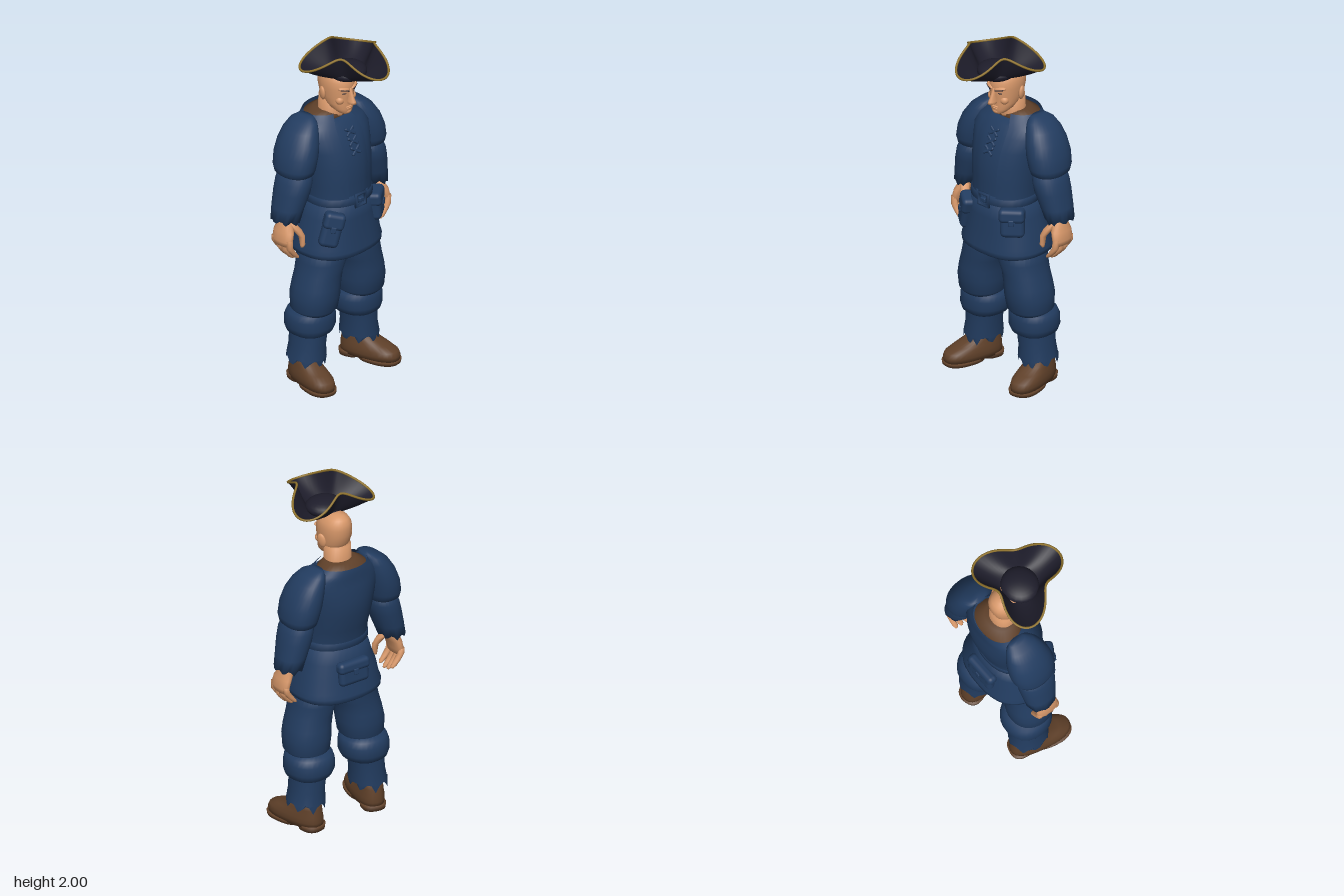
import * as THREE from 'three';
import { RoundedBoxGeometry } from 'three/addons/geometries/RoundedBoxGeometry.js';
import { ParametricGeometry } from 'three/addons/geometries/ParametricGeometry.js';

const flat = (name, color) => {
  const m = new THREE.MeshStandardMaterial({ color, side: THREE.DoubleSide });
  m.name = name;
  return m;
};

// Skin over horizontal rings, listed upwards as [y, cx, cz, rx, rz].
// opening: half angle left open at the front; jag: height of a torn lower hem.
function loft(rings, { exp = 2.2, seg = 28, opening = 0, jag = 0, caps = true } = {}) {
  const pos = [], idx = [];
  const cols = opening ? seg + 1 : seg;
  const bend = (v) => Math.sign(v) * Math.abs(v) ** (2 / exp);
  rings.forEach(([y, cx, cz, rx, rz], i) => {
    for (let j = 0; j < cols; j++) {
      const a = Math.PI / 2 + opening + (j / seg) * 2 * (Math.PI - opening);
      const tear = i === 0 ? jag * (Math.abs(Math.sin(j * 2.3)) - 0.3) : 0;
      pos.push(cx + rx * bend(Math.cos(a)), y + tear, cz + rz * bend(Math.sin(a)));
    }
  });
  for (let i = 0; i < rings.length - 1; i++) {
    for (let j = 0; j < seg; j++) {
      const k = (j + 1) % cols, a = i * cols + j, b = i * cols + k;
      idx.push(a, a + cols, b, b, a + cols, b + cols);
    }
  }
  if (caps && !opening) {
    const top = (rings.length - 1) * cols, n = pos.length / 3;
    for (const r of [rings[0], rings[rings.length - 1]]) pos.push(r[1], r[0], r[2]);
    for (let j = 0; j < seg; j++) {
      const k = (j + 1) % seg;
      idx.push(n, j, k, n + 1, top + k, top + j);
    }
  }
  const g = new THREE.BufferGeometry();
  g.setAttribute('position', new THREE.Float32BufferAttribute(pos, 3));
  g.setIndex(idx);
  g.computeVertexNormals();
  return g;
}

export function createModel() {
  const root = new THREE.Group();
  const blue = flat('blue cloth', 0x223c60);
  const brown = flat('brown leather', 0x5f4029);
  const skin = flat('skin', 0xd8986a);
  const dark = flat('dark felt', 0x1e1d2b);
  const gold = flat('gold trim', 0x8f722c);

  const add = (name, geo, mat, p = [0, 0, 0], r = [0, 0, 0], s = [1, 1, 1], parent = root) => {
    const m = new THREE.Mesh(geo, mat);
    m.name = name;
    m.position.set(...p);
    m.rotation.set(...r);
    m.scale.set(...s);
    parent.add(m);
    return m;
  };
  const side = (rings, s) => rings.map(([y, x, ...rest]) => [y, x * s, ...rest]);
  const ball = new THREE.SphereGeometry(1, 20, 14);
  const block = (x, y, z, r = 0.02) => new RoundedBoxGeometry(x, y, z, 3, r);
  const tube = (pts, r, closed = false, n = 24) => new THREE.TubeGeometry(
    new THREE.CatmullRomCurve3(pts.map((p) => new THREE.Vector3(...p)), closed), n, r, 8, closed);

  // Shirt, open vest and collar
  const torso = [
    [1.06, 0, -0.055, 0.18, 0.155], [1.13, 0, -0.058, 0.178, 0.155], [1.2, 0, -0.065, 0.184, 0.16],
    [1.3, 0, -0.08, 0.195, 0.172], [1.4, 0, -0.095, 0.208, 0.165], [1.48, 0, -0.107, 0.222, 0.145],
    [1.53, 0, -0.122, 0.205, 0.125], [1.56, 0, -0.135, 0.165, 0.115]];
  add('shirt', loft(torso), blue);
  const vest = torso.map(([y, x, z, rx, rz]) => [y, x, z, rx + 0.009, rz + 0.011]);
  vest[0][0] = 1.09;
  vest.push([1.59, 0, -0.142, 0.145, 0.112]);
  add('vest', loft(vest, { opening: 0.36, seg: 40, jag: 0.015 }), blue);
  add('innerCollar', loft([[1.53, 0, -0.135, 0.15, 0.11], [1.575, 0, -0.14, 0.14, 0.105],
    [1.6, 0, -0.125, 0.09, 0.075]]), brown);
  for (let i = 0; i < 3; i++) {
    for (const s of [1, -1]) {
      add('lace', block(0.075, 0.016, 0.016, 0.006), blue,
        [0, 1.39 + i * 0.05, 0.078 - i * 0.022], [-0.35, 0, s * 0.6]);
    }
  }

  // Belt, coat skirt and pouches
  add('belt', loft([[1.08, 0, -0.055, 0.18, 0.155], [1.085, 0, -0.055, 0.197, 0.17],
    [1.125, 0, -0.057, 0.195, 0.17], [1.13, 0, -0.057, 0.18, 0.155]]), blue);
  add('buckle', new THREE.TorusGeometry(0.048, 0.012, 6, 4, Math.PI * 2), blue,
    [0, 1.105, 0.115], [0, 0, 0], [1, 1, 0.9]).geometry.rotateZ(Math.PI / 4);
  add('buckleTongue', block(0.035, 0.025, 0.02, 0.006), blue, [0, 1.105, 0.118]);
  add('coatSkirt', loft([[0.775, 0, -0.07, 0.235, 0.19], [0.79, 0, -0.07, 0.257, 0.208],
    [0.815, 0, -0.07, 0.26, 0.207], [0.84, 0, -0.068, 0.25, 0.2], [0.92, 0, -0.065, 0.235, 0.188],
    [1.0, 0, -0.06, 0.208, 0.175], [1.1, 0, -0.055, 0.182, 0.16]], { exp: 2.4, seg: 36 }), blue);
  const pouch = (name, w, h, d, p, r) => {
    const g = new THREE.Group();
    g.name = name;
    g.position.set(...p);
    g.rotation.set(...r);
    root.add(g);
    add('pouchBag', block(w, h, d, 0.028), blue, [0, 0, 0], [0, 0, 0], [1, 1, 1], g);
    add('pouchFlap', block(w * 1.06, h * 0.48, d * 1.12, 0.025), blue, [0, h * 0.27, 0.004], [0, 0, 0], [1, 1, 1], g);
    add('pouchClasp', block(0.03, 0.035, 0.014, 0.005), blue, [0, h * 0.06, d * 0.6], [0, 0, 0], [1, 1, 1], g);
  };
  pouch('leftPouch', 0.135, 0.165, 0.075, [0.167, 1.005, 0.065], [-0.1, 0.6, 0.1]);
  pouch('rightPouch', 0.11, 0.2, 0.07, [-0.175, 0.965, 0.065], [-0.1, -0.6, -0.33]);
  pouch('backPouch', 0.19, 0.14, 0.055, [0, 0.95, -0.248], [0.1, Math.PI, 0]);

  for (const s of [1, -1]) {
    const n = s > 0 ? 'left' : 'right';
    // Sleeves
    add(n + 'UpperSleeve', loft(side([[1.275, 0.275, -0.12, 0.07, 0.09], [1.295, 0.275, -0.12, 0.09, 0.118],
      [1.33, 0.273, -0.12, 0.097, 0.13], [1.4, 0.258, -0.122, 0.1, 0.135], [1.47, 0.237, -0.125, 0.093, 0.127],
      [1.53, 0.212, -0.13, 0.078, 0.108], [1.57, 0.188, -0.135, 0.055, 0.085], [1.592, 0.165, -0.14, 0.025, 0.05]], s)), blue);
    add(n + 'LowerSleeve', loft(side([[1.02, 0.343, -0.122, 0.07, 0.085], [1.1, 0.323, -0.12, 0.079, 0.095],
      [1.19, 0.298, -0.115, 0.087, 0.108], [1.25, 0.284, -0.113, 0.086, 0.11], [1.31, 0.272, -0.115, 0.07, 0.095]], s), { jag: 0.03 }), blue);

    // Hand: palm, four curled fingers and a thumb
    add(n + 'Palm', loft(side([[0.89, 0.38, -0.105, 0.022, 0.06], [0.92, 0.381, -0.105, 0.028, 0.072],
      [0.97, 0.367, -0.108, 0.034, 0.068], [1.01, 0.35, -0.115, 0.036, 0.05], [1.06, 0.34, -0.12, 0.036, 0.045]], s), { seg: 18 }), skin);
    for (let f = 0; f < 4; f++) {
      const z = -0.05 - f * 0.037, up = [0.012, 0, 0.008, 0.03][f];
      add(n + 'Finger', loft(side([[0.795 + up, 0.322, z, 0.007, 0.009], [0.806 + up, 0.332, z, 0.016, 0.015],
        [0.835 + up, 0.357, z, 0.019, 0.017], [0.87 + up, 0.381, z, 0.019, 0.018], [0.93, 0.383, z, 0.018, 0.017]], s), { seg: 10 }), skin);
    }
    add(n + 'Thumb', loft(side([[0.865, 0.296, -0.04, 0.008, 0.009], [0.88, 0.292, -0.04, 0.014, 0.015],
      [0.93, 0.293, -0.045, 0.018, 0.018], [0.97, 0.315, -0.06, 0.025, 0.024], [1.015, 0.34, -0.09, 0.022, 0.03]], s), { seg: 12 }), skin);

    // Trouser leg with a knee cuff and torn hem
    add(n + 'Thigh', loft(side([[0.435, 0.18, -0.065, 0.105, 0.11], [0.46, 0.18, -0.063, 0.124, 0.128],
      [0.54, 0.176, -0.06, 0.13, 0.138], [0.6, 0.169, -0.057, 0.125, 0.136], [0.67, 0.153, -0.055, 0.122, 0.132],
      [0.74, 0.13, -0.055, 0.128, 0.138], [0.86, 0.122, -0.06, 0.122, 0.14]], s)), blue);
    add(n + 'KneeCuff', loft(side([[0.3, 0.187, -0.09, 0.1, 0.105], [0.315, 0.185, -0.09, 0.123, 0.125],
      [0.35, 0.182, -0.091, 0.137, 0.137], [0.4, 0.181, -0.091, 0.137, 0.136], [0.435, 0.18, -0.086, 0.128, 0.127],
      [0.455, 0.18, -0.08, 0.1, 0.105]], s)), blue);
    add(n + 'TornShin', loft(side([[0.125, 0.208, -0.097, 0.1, 0.11], [0.16, 0.205, -0.095, 0.101, 0.112],
      [0.23, 0.2, -0.094, 0.093, 0.104], [0.33, 0.19, -0.092, 0.097, 0.108]], s), { jag: 0.06, caps: false }), blue);

    // Shoe turned outwards
    const shoe = new THREE.Group();
    shoe.name = n + 'Shoe';
    shoe.position.set(s * 0.228, 0, -0.035);
    shoe.rotation.y = s * 0.22;
    root.add(shoe);
    const leather = (name, rings) => add(name, loft(rings, { exp: 2.5 }), brown, undefined, undefined, undefined, shoe);
    leather('shoeUpper', [[0.02, 0, 0, 0.076, 0.178], [0.05, 0, 0.002, 0.082, 0.18], [0.075, 0, -0.004, 0.08, 0.173],
      [0.1, 0, -0.03, 0.073, 0.142], [0.125, 0, -0.062, 0.066, 0.106], [0.17, 0, -0.075, 0.06, 0.082]]);
    leather('shoeSole', [[0.005, 0, 0.06, 0.08, 0.122], [0.025, 0, 0.06, 0.083, 0.125]]);
    leather('shoeHeel', [[0, 0, -0.115, 0.066, 0.066], [0.03, 0, -0.115, 0.07, 0.07]]);

    // Ear, eye and brow
    add(n + 'Ear', ball, skin, [s * 0.092, 1.717, -0.085], [0.15, s * 0.35, -s * 0.15], [0.014, 0.042, 0.027]);
    add(n + 'Cheek', ball, skin, [s * 0.045, 1.685, 0.002], [0, 0, 0], [0.026, 0.025, 0.024]);
    add(n + 'BrowRidge', ball, skin, [s * 0.037, 1.756, 0.026], [0, s * 0.4, s * 0.2], [0.035, 0.012, 0.015]);
    add(n + 'Eye', ball, dark, [s * 0.036, 1.73, 0.027], [0, s * 0.45, 0], [0.014, 0.005, 0.004]);
    add(n + 'Brow', block(0.05, 0.007, 0.006, 0.002), dark, [s * 0.04, 1.752, 0.038], [0, s * 0.45, s * 0.2]);
  }

  // Head and neck
  add('neck', loft([[1.53, 0, -0.105, 0.088, 0.078], [1.58, 0, -0.105, 0.077, 0.07], [1.68, 0, -0.1, 0.074, 0.07]]), skin);
  add('head', loft([[1.595, 0, 0.0, 0.022, 0.022], [1.605, 0, -0.008, 0.04, 0.038], [1.63, 0, -0.03, 0.062, 0.064],
    [1.66, 0, -0.052, 0.073, 0.086], [1.7, 0, -0.065, 0.081, 0.1], [1.75, 0, -0.068, 0.086, 0.109],
    [1.79, 0, -0.072, 0.086, 0.109], [1.82, 0, -0.078, 0.078, 0.1], [1.845, 0, -0.087, 0.06, 0.077],
    [1.859, 0, -0.094, 0.036, 0.046], [1.864, 0, -0.097, 0.012, 0.015]]), skin);
  add('nose', loft([[1.662, 0, 0.04, 0.012, 0.018], [1.668, 0, 0.046, 0.021, 0.032], [1.68, 0, 0.044, 0.018, 0.032],
    [1.71, 0, 0.036, 0.012, 0.024], [1.745, 0, 0.03, 0.012, 0.017], [1.765, 0, 0.026, 0.01, 0.01]], { seg: 14 }), skin);
  add('upperLip', ball, skin, [0, 1.644, 0.029], [0, 0, 0], [0.027, 0.006, 0.011]);
  add('lowerLip', ball, skin, [0, 1.633, 0.028], [0, 0, 0], [0.022, 0.006, 0.01]);
  add('chin', ball, skin, [0, 1.612, 0.016], [0, 0, 0], [0.026, 0.017, 0.018]);

  // Three-cornered hat: the brim is low at its corners and turned up between them
  const brimPoint = (a, v) => {
    const k = Math.cos(3 * a), r = THREE.MathUtils.lerp(0.085, 0.21 + 0.06 * k, v);
    const y = 1.835 + (0.115 - 0.048 * k) * v ** (1.35 + 0.2 * k);
    return [r * Math.sin(a), y, 0.02 + r * Math.cos(a)];
  };
  add('hatBrim', new ParametricGeometry((u, v, t) => t.set(...brimPoint(u * Math.PI * 2, v)), 72, 10), dark);
  add('hatCrown', ball, dark, [0, 1.858, 0.018], [0, 0, 0], [0.108, 0.05, 0.104]);
  const rim = Array.from({ length: 48 }, (_, i) => brimPoint((i / 48) * Math.PI * 2, 1));
  add('hatTrim', tube(rim, 0.0065, true, 96), gold);

  return root;
}
